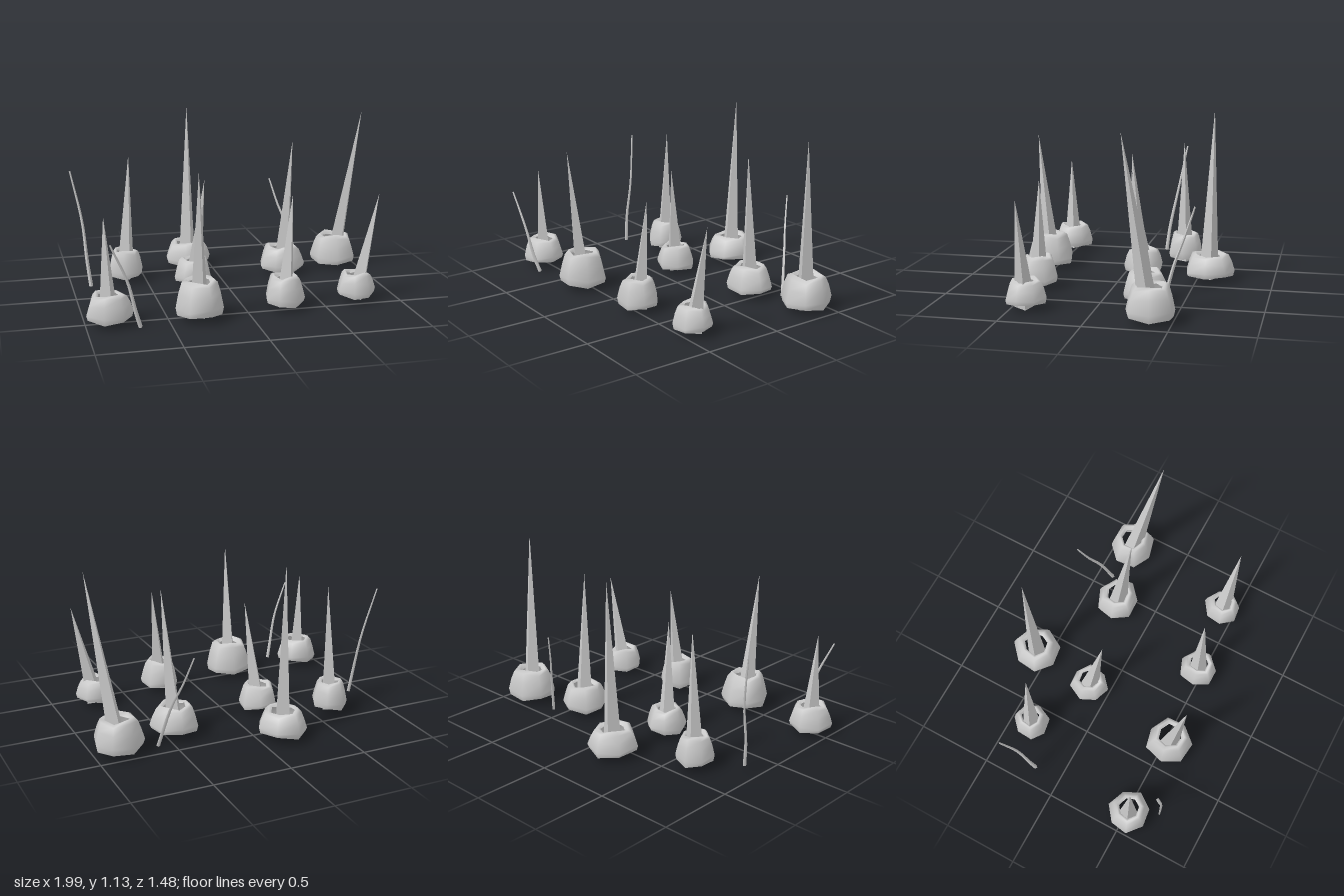
import * as THREE from 'three';

const smooth = new THREE.MeshStandardMaterial({ color: 0xcccccc, side: THREE.DoubleSide });
const flat = new THREE.MeshStandardMaterial({ color: 0xcccccc, flatShading: true, side: THREE.DoubleSide });

const CORNERS = 7;
const BOTTOM = 0.045;

// Mound wall from the ground up and over the rim: [radius scale, fraction of height]
const PROFILE = [[0.94, 0], [1, 0.2], [0.88, 0.6], [0.75, 0.9], [0.6, 1], [0.48, 0.88]];

// Hollow, open-bottomed, uneven mound with a hole in the top
function mound(rx, rz, start, top) {
  const positions = [], index = [];
  PROFILE.forEach(([scale, h], ring) => {
    for (let i = 0; i < CORNERS; i++) {
      const angle = start + (i / CORNERS) * Math.PI * 2;
      const r = scale * (1.02 + 0.05 * Math.sin(i * 2.6 + start * 9));
      const lift = 0.01 * Math.sin(i * 2.3 + ring + start * 7);
      positions.push(rx * r * Math.cos(angle), BOTTOM + (top - BOTTOM) * h + lift, rz * r * Math.sin(angle));
      if (ring === 0) continue;
      const j = (i + 1) % CORNERS, a = (ring - 1) * CORNERS, b = ring * CORNERS;
      index.push(a + i, b + i, a + j, a + j, b + i, b + j);
    }
  });
  const g = new THREE.BufferGeometry();
  g.setAttribute('position', new THREE.Float32BufferAttribute(positions, 3));
  g.setIndex(index);
  g.computeVertexNormals();
  const mesh = new THREE.Mesh(g, smooth);
  mesh.name = 'mound';
  return mesh;
}

// Four-sided spike leaning from the mound's centre to its tip
function spike(lean) {
  const axis = new THREE.Vector3(...lean);
  const length = axis.length();
  const g = new THREE.ConeGeometry(0.065, length, 4).rotateY(0.3).translate(0, length / 2, 0);
  const mesh = new THREE.Mesh(g, flat);
  mesh.name = 'spike';
  mesh.position.y = 0.025;
  mesh.quaternion.setFromUnitVectors(new THREE.Vector3(0, 1, 0), axis.normalize());
  return mesh;
}

// Spike standing in its mound: centre, mound radii, angle of first corner, mound top, spike lean
function spikeInMound(x, z, rx, rz, start, top, lean) {
  const group = new THREE.Group();
  group.name = 'spikeInMound';
  group.add(mound(rx, rz, start, top), spike(lean));
  group.position.set(x, 0, z);
  return group;
}

// Thin bent blade narrowing towards its tip
function grassBlade(...points) {
  const curve = new THREE.CatmullRomCurve3(points.map((p) => new THREE.Vector3(...p)));
  const segments = 10, sides = 4;
  const g = new THREE.TubeGeometry(curve, segments, 0.013, sides);
  const pos = g.attributes.position, v = new THREE.Vector3();
  for (let i = 0; i < pos.count; i++) {
    const t = Math.floor(i / (sides + 1)) / segments;
    v.fromBufferAttribute(pos, i).lerp(curve.getPointAt(t), 0.6 * t);
    pos.setXYZ(i, v.x, v.y, v.z);
  }
  g.computeVertexNormals();
  const mesh = new THREE.Mesh(g, smooth);
  mesh.name = 'grassBlade';
  return mesh;
}

export function createModel() {
  const model = new THREE.Group();
  model.name = 'spikeField';

  // Back rows
  model.add(
    spikeInMound(-0.165, -0.58, 0.155, 0.16, 0.05, 0.19, [0.01, 1.11, -0.025]),
    spikeInMound(-0.635, -0.35, 0.115, 0.118, 0, 0.22, [0.035, 0.835, 0.005]),
    spikeInMound(-0.21, -0.14, 0.125, 0.128, 0.5, 0.19, [0.06, 0.705, 0.08]),
    spikeInMound(0.43, -0.265, 0.152, 0.14, 0.26, 0.205, [0.05, 0.915, 0.075]),
    spikeInMound(0.84, -0.37, 0.155, 0.15, -0.13, 0.235, [0.135, 1.095, 0.145]),
  );

  // Front row
  model.add(
    spikeInMound(-0.86, 0.517, 0.14, 0.133, 0.09, 0.2, [-0.02, 0.645, 0.013]),
    spikeInMound(-0.313, 0.53, 0.152, 0.152, -0.55, 0.25, [-0.017, 0.895, 0.09]),
    spikeInMound(0.24, 0.467, 0.122, 0.127, 0.3, 0.22, [0.055, 0.695, -0.027]),
    spikeInMound(0.725, 0.41, 0.12, 0.123, 0.15, 0.19, [0.14, 0.665, 0.01]),
  );

  // Blades, from the ground to the tip
  model.add(
    grassBlade([-0.885, 0.03, -0.18], [-0.905, 0.2, -0.2], [-0.925, 0.45, -0.25], [-0.99, 0.78, -0.31]),
    grassBlade([-0.69, 0.02, 0.645], [-0.72, 0.12, 0.67], [-0.77, 0.32, 0.7], [-0.87, 0.55, 0.73]),
    grassBlade([0.595, 0.008, -0.395], [0.53, 0.28, -0.46], [0.475, 0.43, -0.51], [0.425, 0.61, -0.565]),
  );
  return model;
}
